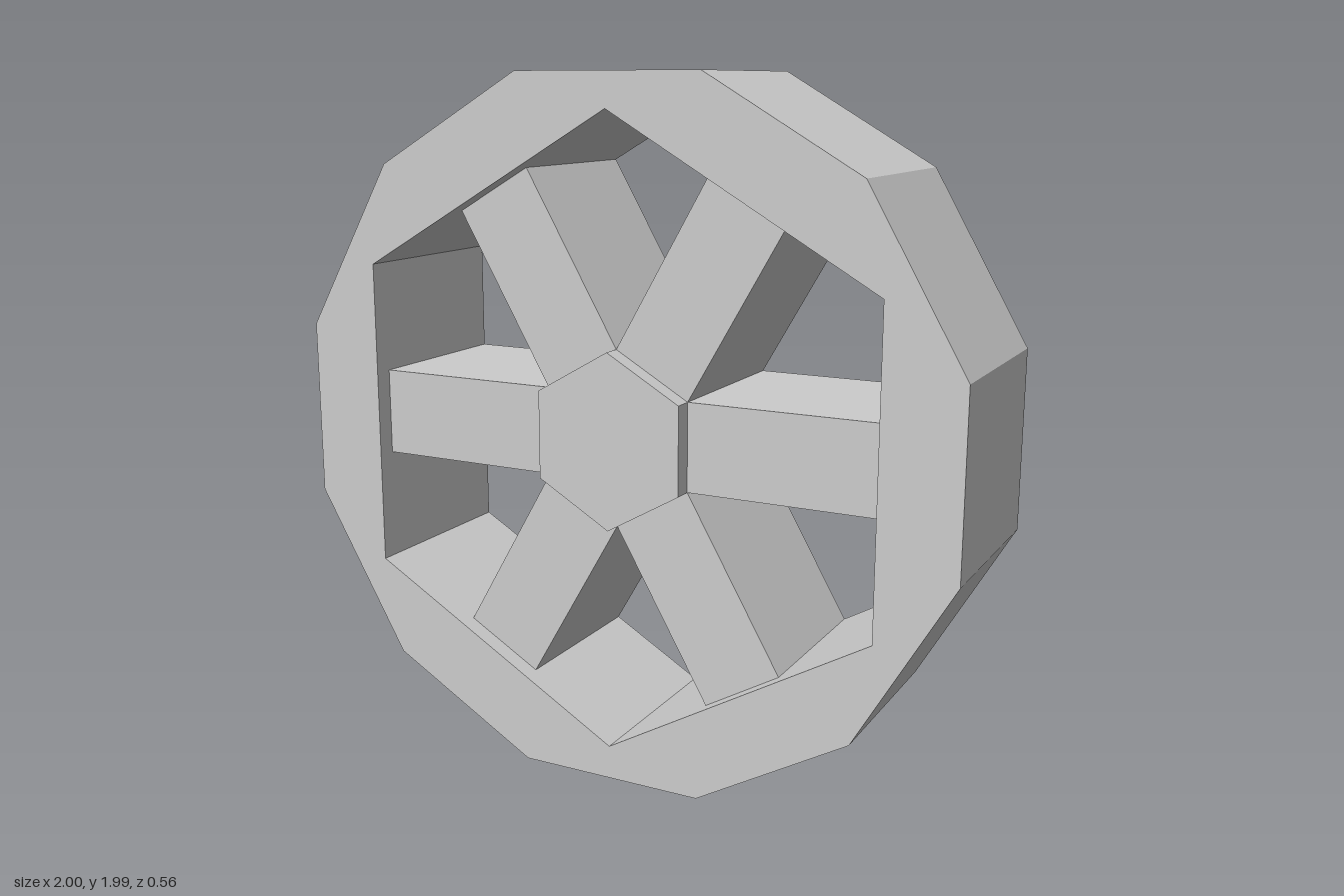
import * as THREE from 'three';

const HALF_DEPTH = 0.2815, RECESS = 0.055;
const RIM_R = 1.0327, RIM_SKEW = Math.asin(0.2575 / RIM_R); // corners pair up around each spoke
const INNER_R = 0.897, HUB_R = 0.252;
const SPOKE_WIDTH = HUB_R; // each spoke is as wide as one side of the hub
const CENTRE_Y = RIM_R * Math.cos(Math.PI / 6 - RIM_SKEW);

const polar = (r, a) => new THREE.Vector2(r * Math.cos(a), r * Math.sin(a));
const hexagon = (r) => Array.from({ length: 6 }, (_, i) => polar(r, Math.PI / 6 + i * Math.PI / 3));

export function createModel() {
  const wheel = new THREE.Group();
  wheel.name = 'wheel';
  const material = new THREE.MeshStandardMaterial({ color: 0xcccccc, flatShading: true });

  const add = (geometry, name) => {
    const mesh = new THREE.Mesh(geometry, material);
    mesh.name = name;
    wheel.add(mesh);
    return mesh;
  };
  const extrude = (shape) => {
    const g = new THREE.ExtrudeGeometry(shape, { depth: 2 * HALF_DEPTH, bevelEnabled: false });
    return g.translate(0, 0, -HALF_DEPTH);
  };

  // Twelve-sided rim with a hexagonal opening
  const outline = [];
  for (let i = 0; i < 6; i++) {
    const a = i * Math.PI / 3;
    outline.push(polar(RIM_R, a - RIM_SKEW), polar(RIM_R, a + RIM_SKEW));
  }
  const rimShape = new THREE.Shape(outline);
  rimShape.holes.push(new THREE.Path(hexagon(INNER_R)));
  add(extrude(rimShape), 'rim');

  // Hexagonal hub, flush with the rim on both sides
  add(extrude(new THREE.Shape(hexagon(HUB_R))), 'hub');

  // Six spokes, flush at the back and recessed at the front
  const start = HUB_R * Math.cos(Math.PI / 6), end = INNER_R * Math.cos(Math.PI / 6);
  const spoke = new THREE.BoxGeometry(end - start, SPOKE_WIDTH, 2 * HALF_DEPTH - RECESS);
  spoke.translate((start + end) / 2, 0, -RECESS / 2);
  for (let i = 0; i < 6; i++) add(spoke, 'spoke' + (i + 1)).rotation.z = i * Math.PI / 3;

  wheel.position.y = CENTRE_Y;
  const model = new THREE.Group();
  model.name = 'spokedWheel';
  model.add(wheel);
  return model;
}
